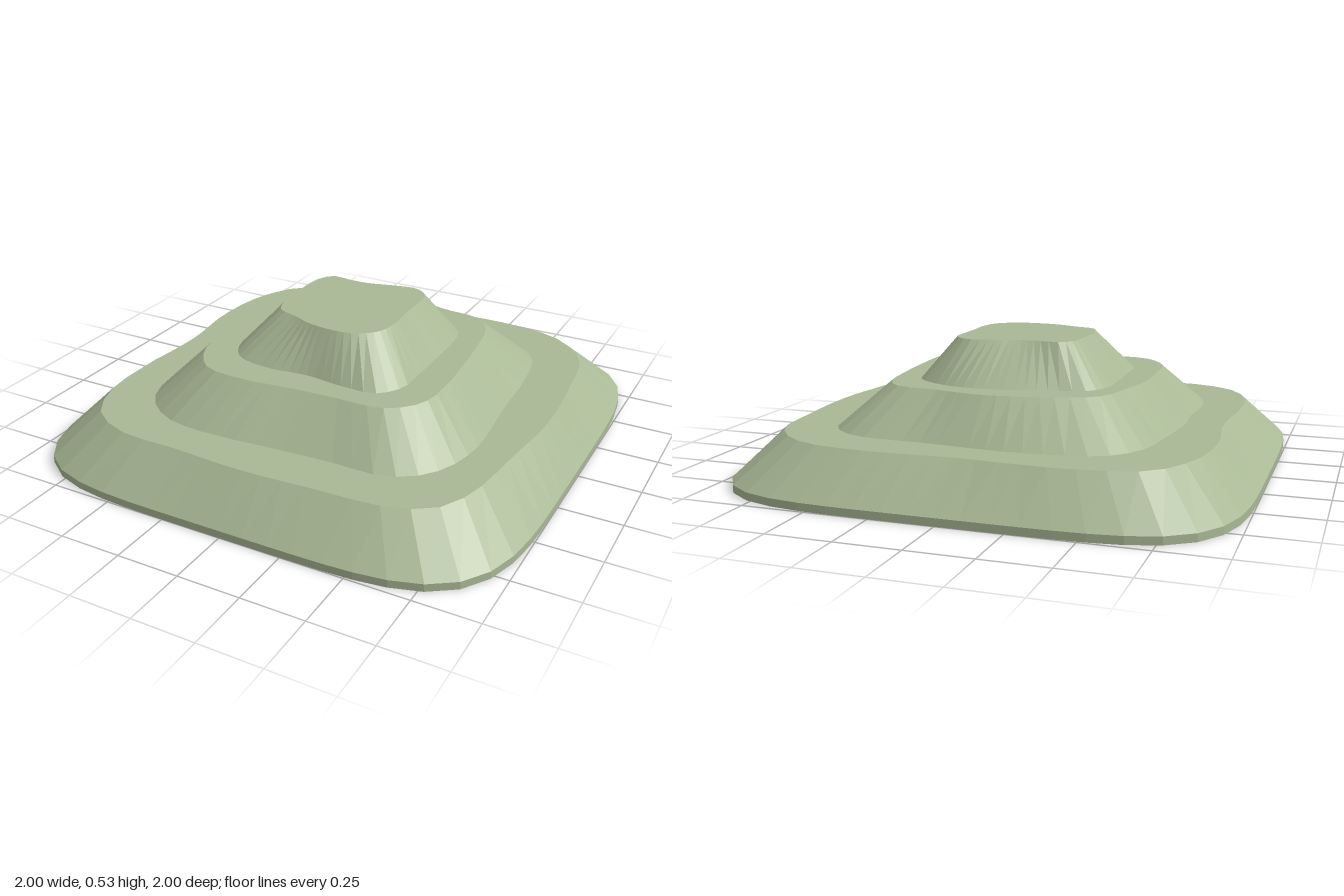
import * as THREE from 'three';

const SEGMENTS = 64;

// Control points (x, z) of each wavy outline, from +x round towards +z
const lowerRim = [.86, 0, .83, .3, .79, .6, .72, .74, .58, .81, .3, .83, 0, .845, -.3, .83, -.55, .82, -.72, .74, -.81, .57,
  -.83, .35, -.81, 0, -.84, -.35, -.8, -.6, -.68, -.78, -.4, -.84, 0, -.825, .35, -.835, .62, -.79, .79, -.63, .84, -.35];
const middleFoot = [.67, 0, .69, .25, .67, .42, .6, .56, .47, .64, .25, .645, 0, .66, -.2, .675, -.45, .655, -.61, .54, -.665, .35,
  -.655, .13, -.665, -.05, -.635, -.3, -.6, -.5, -.5, -.63, -.3, -.68, -.15, -.69, .2, -.66, .46, -.645, .6, -.55, .65, -.35];
const middleRim = [.5, 0, .51, .2, .49, .36, .38, .465, .19, .475, 0, .485, -.22, .505, -.39, .475, -.49, .33, -.505, .13,
  -.505, -.08, -.47, -.25, -.42, -.41, -.31, -.48, -.13, -.52, .03, -.53, .22, -.49, .38, -.465, .45, -.37, .48, -.2];
const upperFoot = [.38, 0, .38, .16, .37, .29, .3, .375, .17, .38, 0, .362, -.18, .375, -.32, .34, -.385, .24, -.395, .08,
  -.4, -.08, -.4, -.22, -.35, -.33, -.25, -.36, -.12, -.395, 0, -.415, .12, -.42, .27, -.37, .36, -.29, .38, -.15];
const upperRim = [.24, 0, .245, .1, .22, .2, .14, .255, .06, .265, -.05, .25, -.13, .215, -.22, .18, -.255, .08,
  -.26, -.05, -.25, -.18, -.21, -.24, -.13, -.235, -.05, -.235, .08, -.265, .17, -.275, .23, -.22, .24, -.1];

const angleAt = (i) => (i / SEGMENTS) * Math.PI * 2;

// Ring whose radius is a function of angle, at height y
function ring(y, radius) {
  return Array.from({ length: SEGMENTS }, (_, i) => {
    const a = angleAt(i), r = radius(a);
    return new THREE.Vector3(r * Math.cos(a), y, r * Math.sin(a));
  });
}

// Rounded square footprint
const squircle = (a) => (Math.abs(Math.cos(a)) ** 5 + Math.abs(Math.sin(a)) ** 5) ** -0.2;

// Smooth closed outline through control points, resampled at even angles
function outline(y, xz) {
  const points = [];
  for (let i = 0; i < xz.length; i += 2) points.push(new THREE.Vector3(xz[i], 0, xz[i + 1]));
  const samples = new THREE.CatmullRomCurve3(points, true).getPoints(600);
  return ring(y, (a) => {
    const c = Math.cos(a), s = Math.sin(a);
    let best = samples[0], score = -2;
    for (const p of samples) {
      const d = (p.x * c + p.z * s) / Math.hypot(p.x, p.z);
      if (d > score) { score = d; best = p; }
    }
    return Math.hypot(best.x, best.z);
  });
}

const centre = (y) => ring(y, () => 0);

// Skin between successive rings, listed from the foot upward and inward
function loft(rings) {
  const position = [];
  const triangle = (...corners) => corners.forEach((p) => position.push(p.x, p.y, p.z));
  for (let k = 0; k + 1 < rings.length; k++) {
    const lo = rings[k], up = rings[k + 1];
    for (let i = 0; i < SEGMENTS; i++) {
      const j = (i + 1) % SEGMENTS;
      if (lo[i].distanceTo(lo[j]) > 1e-6) triangle(lo[i], up[i], lo[j]);
      if (up[i].distanceTo(up[j]) > 1e-6) triangle(lo[j], up[i], up[j]);
    }
  }
  const geometry = new THREE.BufferGeometry();
  geometry.setAttribute('position', new THREE.Float32BufferAttribute(position, 3));
  geometry.computeVertexNormals();
  return geometry;
}

export function createModel() {
  const group = new THREE.Group();
  group.name = 'terracedHill';
  const grass = new THREE.MeshStandardMaterial({ color: 0xa9b895, flatShading: true });
  grass.name = 'sageGreen';

  const add = (name, rings) => {
    const mesh = new THREE.Mesh(loft(rings), grass);
    mesh.name = name;
    group.add(mesh);
  };

  const Y1 = 0.197, Y2 = 0.364, Y3 = 0.53;
  const ground = ring(0, squircle);
  const foot2 = outline(Y1, middleFoot), foot3 = outline(Y2, upperFoot);

  // Each tier is a slope followed by its flat terrace
  add('underside', [centre(0), ground]);
  add('lowerTier', [ground, ring(0.03, squircle), outline(Y1, lowerRim), foot2]);
  add('middleTier', [foot2, outline(Y2, middleRim), foot3]);
  add('upperTier', [foot3, outline(Y3, upperRim), centre(Y3)]);
  return group;
}
